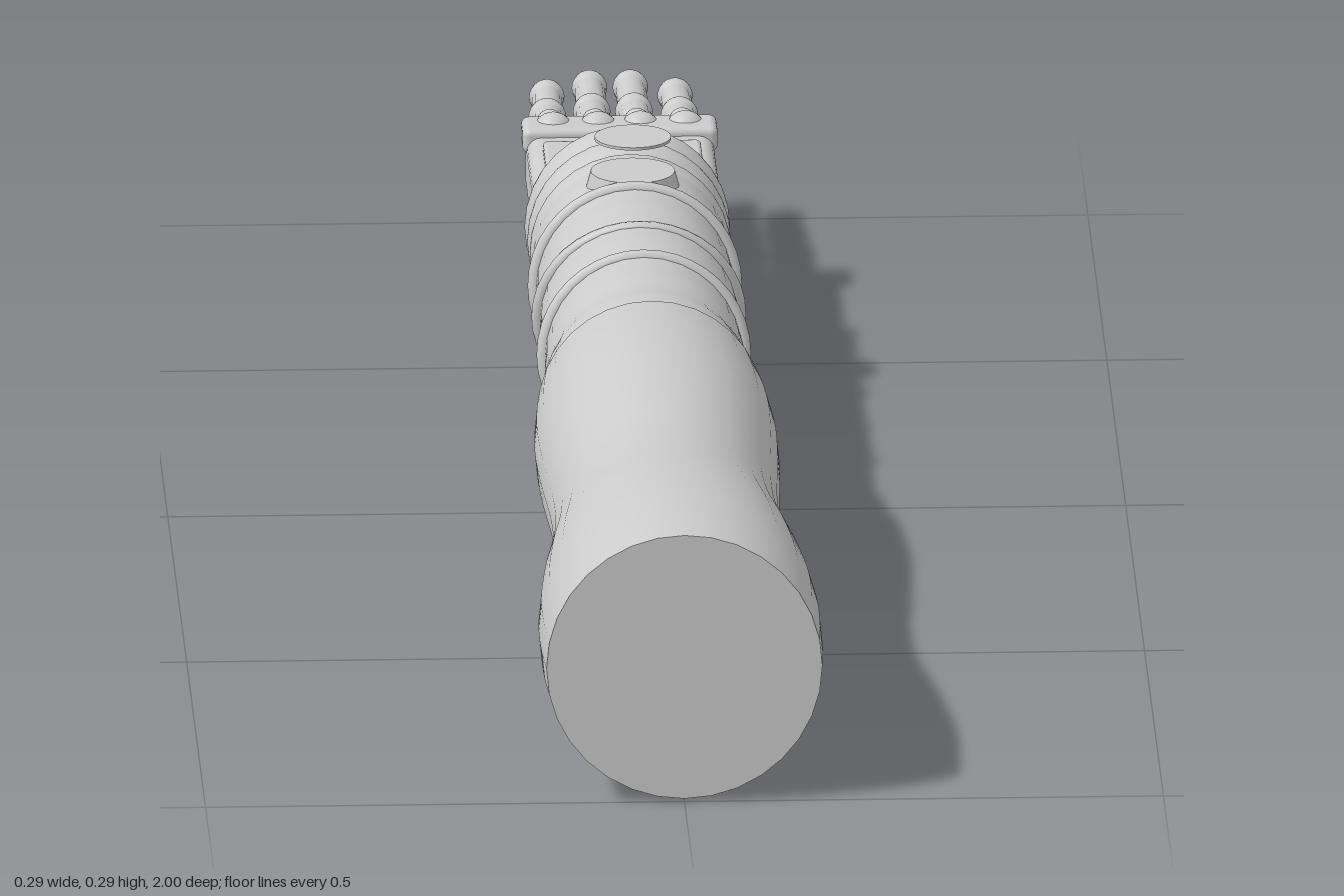
import * as THREE from 'three';
import { toCreasedNormals } from 'three/addons/utils/BufferGeometryUtils.js';
import { RoundedBoxGeometry } from 'three/addons/geometries/RoundedBoxGeometry.js';

const AXIS_Y = 0.15; // height of the arm's centre line
const material = new THREE.MeshStandardMaterial({ color: 0xcccccc });

function add(parent, name, geometry, x = 0, y = 0, z = 0) {
  const mesh = new THREE.Mesh(geometry, material);
  mesh.name = name;
  mesh.position.set(x, y, z);
  parent.add(mesh);
  return mesh;
}

// Solid turned around the arm's axis; stations are [z, radius], from -z to +z
function turned(stations) {
  const curve = new THREE.SplineCurve(stations.map(([z, r]) => new THREE.Vector2(r, z)));
  const points = curve.getPoints(stations.length * 6);
  points.unshift(new THREE.Vector2(0, stations[0][0]));
  points.push(new THREE.Vector2(0, stations.at(-1)[0]));
  const geometry = new THREE.LatheGeometry(points, 32);
  geometry.rotateX(Math.PI / 2);
  return toCreasedNormals(geometry, 0.8);
}

// Tapered rod between two points
function rod(parent, name, a, b, ra, rb) {
  const from = new THREE.Vector3(...a), to = new THREE.Vector3(...b);
  const dir = to.clone().sub(from);
  const mesh = add(parent, name, new THREE.CylinderGeometry(rb, ra, dir.length(), 14));
  mesh.position.copy(from).add(to).multiplyScalar(0.5);
  mesh.quaternion.setFromUnitVectors(new THREE.Vector3(0, 1, 0), dir.normalize());
  return mesh;
}

function ball(parent, name, p, r) {
  return add(parent, name, new THREE.SphereGeometry(r, 16, 12), ...p);
}

// Rods joined by balls along a chain of points
function digit(parent, name, points, radii) {
  const group = new THREE.Group();
  group.name = name;
  parent.add(group);
  points.forEach((p, i) => {
    ball(group, 'joint', p, radii[i] * 1.12);
    if (i) rod(group, 'segment', points[i - 1], p, radii[i - 1] * 0.95, radii[i] * 0.95);
  });
}

export function createModel() {
  const model = new THREE.Group();
  model.name = 'arm';

  // Upper arm sleeve
  add(model, 'upperArm', turned([
    [0.11, 0.118], [0.18, 0.124], [0.26, 0.127], [0.36, 0.125], [0.5, 0.119],
    [0.6, 0.122], [0.72, 0.136], [0.84, 0.146], [0.93, 0.147], [1, 0.144],
  ]), 0, AXIS_Y, 0);

  // Forearm with gentle swells between the bands
  add(model, 'forearm', turned([
    [-0.44, 0.1], [-0.38, 0.104], [-0.31, 0.103], [-0.26, 0.105], [-0.21, 0.103],
    [-0.14, 0.106], [-0.08, 0.103], [-0.03, 0.105], [0.02, 0.105], [0.07, 0.112], [0.12, 0.113],
  ]), 0, AXIS_Y, 0);

  // Ribbed wrist cuff
  add(model, 'wristCuff', turned([
    [-0.53, 0.106], [-0.515, 0.107], [-0.5, 0.101], [-0.485, 0.105], [-0.465, 0.106],
    [-0.45, 0.1], [-0.435, 0.105], [-0.415, 0.103], [-0.4, 0.097],
  ]), 0, AXIS_Y, 0);

  // Thin tilted bands around the forearm
  [[0.058, 0.14], [-0.078, -0.15], [-0.212, 0.18], [-0.316, -0.11]].forEach(([z, tilt]) => {
    const band = add(model, 'forearmBand', new THREE.TorusGeometry(0.104, 0.008, 10, 40), 0, AXIS_Y, z);
    band.rotation.x = tilt;
    band.scale.y = 0.985;
  });

  // Dial: low base set in the forearm and a thin disc hovering above it
  add(model, 'dialBase', new THREE.CylinderGeometry(0.044, 0.05, 0.022, 32), 0, 0.247, -0.37);
  add(model, 'dialDisc', new THREE.CylinderGeometry(0.04, 0.04, 0.003, 32), 0, 0.294, -0.37);

  // Palm, back plate and wrist core
  const hand = new THREE.Group();
  hand.name = 'hand';
  model.add(hand);
  add(hand, 'palm', new RoundedBoxGeometry(0.196, 0.07, 0.23, 3, 0.016), 0, 0.156, -0.625);
  add(hand, 'backPlate', new RoundedBoxGeometry(0.165, 0.014, 0.12, 2, 0.005), 0, 0.192, -0.603);
  add(hand, 'knuckleBar', new RoundedBoxGeometry(0.204, 0.028, 0.052, 3, 0.008), 0, 0.186, -0.722);
  const pads = [[0.052, 0.126, -0.585], [-0.055, 0.126, -0.6]];
  pads.forEach(p => ball(hand, 'palmPad', p, 0.022).scale.set(1.5, 0.85, 2));

  // Four fingers: x position and tip z
  [[-0.069, -0.95], [-0.022, -0.98], [0.022, -0.98], [0.069, -0.95]].forEach(([x, tip]) => {
    ball(hand, 'knuckle', [x, 0.186, -0.729], 0.022);
    const mid = (tip - 0.82) / 2;
    digit(hand, 'finger',
      [[x * 1.05, 0.152, -0.73], [x * 1.02, 0.157, -0.815], [x, 0.154, mid], [x * 0.97, 0.155, tip]],
      [0.02, 0.019, 0.0175, 0.0165]);
    ball(hand, 'fingerJointCap', [x, 0.17, -0.815], 0.014);
  });

  // Thumb along the left edge and the short digit under the right edge
  digit(hand, 'thumb',
    [[0.05, 0.132, -0.57], [0.072, 0.137, -0.66], [0.078, 0.14, -0.755]], [0.022, 0.021, 0.018]);
  digit(hand, 'shortDigit',
    [[-0.055, 0.135, -0.67], [-0.06, 0.136, -0.735], [-0.06, 0.138, -0.785]], [0.02, 0.019, 0.017]);

  return model;
}
